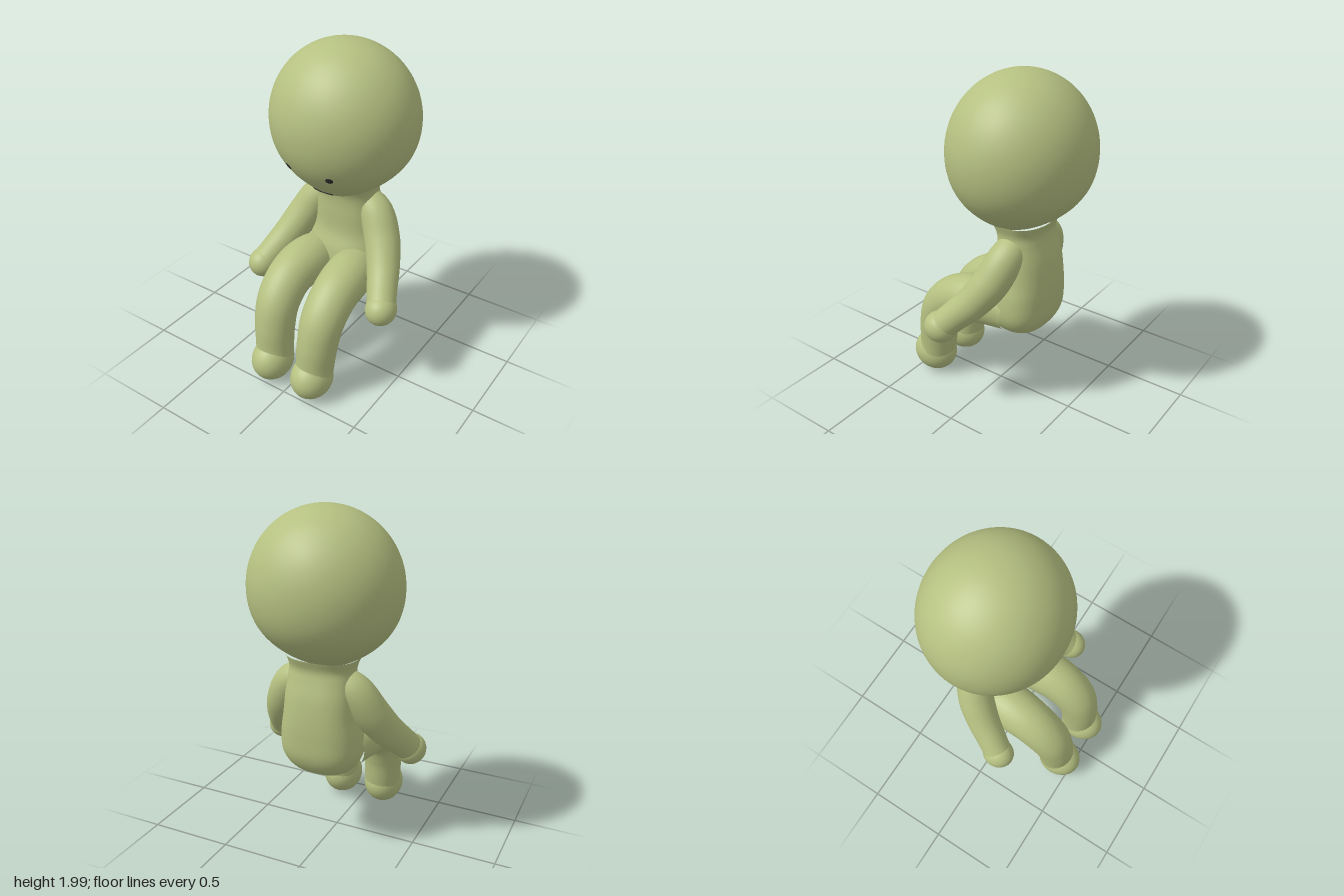
import * as THREE from 'three';
import { mergeVertices } from 'three/addons/utils/BufferGeometryUtils.js';

const skin = new THREE.MeshStandardMaterial({ color: 0xb5c081 });
skin.name = 'olive skin';
const dark = new THREE.MeshStandardMaterial({ color: 0x2c302b });
dark.name = 'dark face marks';

function part(name, geometry, material = skin) {
  const mesh = new THREE.Mesh(geometry, material);
  mesh.name = name;
  return mesh;
}

// Smoothly interpolates rows of numbers over 0..1
function smoothRows(rows) {
  const size = rows[0].length;
  const steps = rows.map((_, i) => i / (rows.length - 1));
  const curve = new THREE.CubicInterpolant(steps, rows.flat(), size, new Array(size));
  return t => curve.evaluate(t);
}

// Moves every vertex by a rule, then rebuilds seamless smooth normals
function reshape(geometry, rule) {
  const pos = geometry.attributes.position, uv = geometry.attributes.uv;
  const v = new THREE.Vector3();
  for (let i = 0; i < pos.count; i++) {
    v.fromBufferAttribute(pos, i);
    rule(v, uv.getX(i), uv.getY(i));
    pos.setXYZ(i, v.x, v.y, v.z);
  }
  geometry.deleteAttribute('uv');
  geometry.deleteAttribute('normal');
  const welded = mergeVertices(geometry, 1e-5);
  welded.computeVertexNormals();
  return welded;
}

// Head: an ellipsoid whose lower half narrows towards the neck
const HEAD = { y: 1.56, z: -0.14, rx: 0.432, rz: 0.405, up: 0.44, down: 0.46 };
const taper = t => 1 - 0.36 * t ** 4;

function headGeometry() {
  return reshape(new THREE.SphereGeometry(1, 64, 48), v => {
    const t = Math.max(0, -v.y);
    v.set(
      v.x * HEAD.rx * taper(t),
      HEAD.y + v.y * (v.y > 0 ? HEAD.up : HEAD.down),
      HEAD.z + v.z * HEAD.rz * taper(t) + 0.05 * t ** 4
    );
  });
}

// Point on the front of the lower head
function facePoint(x, y) {
  const t = (HEAD.y - y) / HEAD.down;
  const k = taper(t) * Math.sqrt(1 - t * t);
  const z = HEAD.z + 0.05 * t ** 4 + HEAD.rz * k * Math.sqrt(1 - (x / (HEAD.rx * k)) ** 2);
  return new THREE.Vector3(x, y, z);
}

// Torso: rounded sections of [y, half width, front z, back z]
function torsoGeometry() {
  const section = smoothRows([
    [0.478, 0.002, -0.189, -0.191],
    [0.49, 0.11, -0.10, -0.265],
    [0.535, 0.19, -0.03, -0.325],
    [0.62, 0.235, 0.0, -0.365],
    [0.74, 0.235, -0.01, -0.372],
    [0.85, 0.215, -0.045, -0.368],
    [0.97, 0.205, -0.05, -0.352],
    [1.07, 0.195, -0.05, -0.325],
    [1.13, 0.192, -0.035, -0.315],
    [1.19, 0.21, 0.0, -0.335]
  ]);
  const soften = c => Math.sign(c) * Math.abs(c) ** 0.82;
  return reshape(new THREE.CylinderGeometry(1, 1, 1, 48, 48, true), (v, u, h) => {
    const [y, rx, front, back] = section(h);
    v.set(soften(v.x) * rx, y, (front + back) / 2 + soften(v.z) * (front - back) / 2);
  });
}

// Limb: a tube through points [x, y, z, radius]
function limbGeometry(points) {
  const curve = new THREE.CatmullRomCurve3(points.map(p => new THREE.Vector3(p[0], p[1], p[2])));
  const radius = smoothRows(points.map(p => [p[3]]));
  return reshape(new THREE.TubeGeometry(curve, 48, 1, 28), (v, u) => {
    const centre = curve.getPointAt(u);
    v.sub(centre).multiplyScalar(radius(curve.getUtoTmapping(u))[0]).add(centre);
  });
}

function ball(name, position, radii) {
  const mesh = part(name, new THREE.SphereGeometry(1, 32, 24));
  mesh.position.set(...position);
  mesh.scale.set(...radii);
  return mesh;
}

function arm(side) {
  const group = new THREE.Group();
  group.name = side > 0 ? 'leftArm' : 'rightArm';
  const path = [
    [0.10, 1.07, -0.185, 0.08],
    [0.195, 1.0, -0.175, 0.1],
    [0.27, 0.87, -0.13, 0.105],
    [0.335, 0.74, -0.045, 0.097],
    [0.385, 0.645, 0.045, 0.088],
    [0.423, 0.57, 0.115, 0.085]
  ].map(([x, y, z, r]) => [side * x, y, z, r]);
  group.add(part('upperAndForearm', limbGeometry(path)));
  group.add(ball('hand', [side * 0.425, 0.568, 0.117], [0.09, 0.092, 0.098]));
  return group;
}

function leg(side) {
  const group = new THREE.Group();
  group.name = side > 0 ? 'leftLeg' : 'rightLeg';
  const path = [
    [0.125, 0.635, -0.15, 0.125],
    [0.15, 0.645, 0.04, 0.143],
    [0.16, 0.61, 0.2, 0.135],
    [0.16, 0.505, 0.315, 0.128],
    [0.154, 0.36, 0.363, 0.12],
    [0.148, 0.22, 0.38, 0.114],
    [0.145, 0.13, 0.395, 0.115]
  ].map(([x, y, z, r]) => [side * x, y, z, r]);
  group.add(part('thighAndShin', limbGeometry(path)));
  group.add(ball('foot', [side * 0.145, 0.137, 0.409], [0.122, 0.13, 0.14]));
  return group;
}

// Eye: a thin disc lying on the curve of the face
function eye(name, x, y) {
  const mesh = part(name, new THREE.SphereGeometry(0.022, 16, 12), dark);
  const p = facePoint(x, y);
  const e = 0.005;
  const across = facePoint(x + e, y).sub(p);
  const upward = facePoint(x, y + e).sub(p);
  mesh.position.copy(p);
  mesh.quaternion.setFromUnitVectors(new THREE.Vector3(0, 0, 1), across.cross(upward).normalize());
  mesh.scale.z = 0.2;
  return mesh;
}

// Mouth: a thin, slightly downturned line
function mouth() {
  const points = [];
  for (let i = 0; i <= 8; i++) {
    const s = i / 4 - 1;
    points.push(facePoint(-0.015 + 0.07 * s, 1.183 - 0.01 * s * s));
  }
  return part('mouth', new THREE.TubeGeometry(new THREE.CatmullRomCurve3(points), 24, 0.006, 8), dark);
}

export function createModel() {
  const model = new THREE.Group();
  model.name = 'seatedFigure';
  model.add(part('head', headGeometry()), part('torso', torsoGeometry()));
  for (const side of [-1, 1]) model.add(arm(side), leg(side));
  model.add(eye('rightEye', -0.155, 1.343), eye('leftEye', 0.12, 1.337), mouth());
  return model;
}
